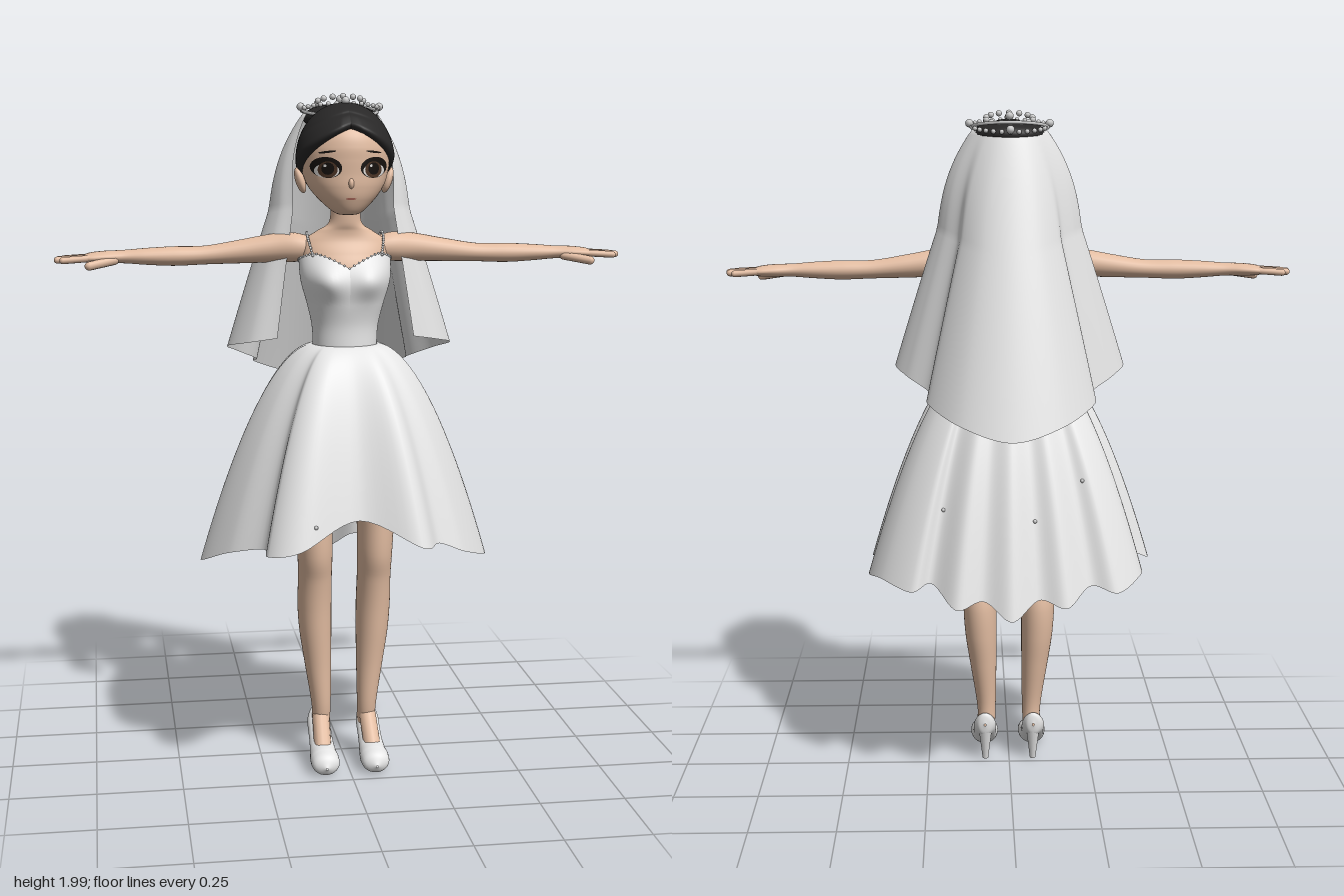
import * as THREE from 'three';
import { ParametricGeometry } from 'three/addons/geometries/ParametricGeometry.js';

const V = (x, y, z) => new THREE.Vector3(x, y, z);
const { sin, cos, PI, exp, abs, min, max, acos, atan2 } = Math;

const material = (name, color, side = THREE.FrontSide) => {
  const m = new THREE.MeshStandardMaterial({ color, side });
  m.name = name;
  return m;
};

// Smooth curve through points, evenly stepped per point
const curve = (pts, closed = false) => new THREE.CatmullRomCurve3(pts, closed, 'catmullrom');

// Elliptical rings stacked bottom to top: rows are [y, x, z, radiusX, radiusZ]
function rings(rows) {
  const centre = curve(rows.map(r => V(r[1], r[0], r[2])));
  const radius = curve(rows.map(r => V(r[3], 0, r[4])));
  return (u, v, t) => {
    centre.getPoint(v, t);
    const r = radius.getPoint(v);
    t.x += r.x * sin(u * 2 * PI);
    t.z += r.z * cos(u * 2 * PI);
    return t;
  };
}
const surface = (f, nu = 40, nv = 40) => new ParametricGeometry(f, nu, nv);

export function createModel() {
  const root = new THREE.Group();
  root.name = 'bride';
  const skin = material('skin', 0xe2bca1);
  const dress = material('dress white', 0xf0f0f0, THREE.DoubleSide);
  const veilMat = material('veil white', 0xe2e2e2, THREE.DoubleSide);
  const hairMat = material('hair black', 0x282727, THREE.DoubleSide);
  const pearl = material('pearl grey', 0xcccccc);
  const lashMat = material('lash black', 0x17120f);
  const irisMat = material('iris brown', 0x4d3526);
  const white = material('eye white', 0xf6f3f0);
  const lipMat = material('lip rose', 0xb06a5c);

  function add(name, geo, mat, pos = [0, 0, 0], scale = [1, 1, 1]) {
    const m = new THREE.Mesh(geo, mat);
    m.name = name;
    m.position.set(...pos);
    m.scale.set(...scale);
    root.add(m);
    return m;
  }
  function capsule(name, a, b, r, mat) {
    const d = b.clone().sub(a);
    const m = add(name, new THREE.CapsuleGeometry(r, d.length(), 4, 12), mat);
    m.position.copy(a).add(b).multiplyScalar(0.5);
    m.quaternion.setFromUnitVectors(V(0, 1, 0), d.normalize());
  }
  function beads(name, pts, r, mat = pearl) {
    const geo = new THREE.SphereGeometry(r, 8, 6);
    pts.forEach(p => add(name, geo, mat, p.toArray()));
  }

  // Neck and chest
  add('torso', surface(rings([
    [1.3, 0, 0.07, 0.08, 0.07], [1.4, 0, 0.075, 0.095, 0.075], [1.49, 0, 0.07, 0.118, 0.078],
    [1.54, 0, 0.062, 0.125, 0.068], [1.575, 0, 0.058, 0.118, 0.055], [1.602, 0, 0.066, 0.08, 0.045],
    [1.63, 0, 0.08, 0.046, 0.038], [1.71, 0, 0.086, 0.044, 0.038]])), skin);

  // Bodice with a heart-shaped neckline
  const bodiceRings = rings([
    [1.265, 0, 0.07, 0.093, 0.086], [1.33, 0, 0.072, 0.097, 0.085], [1.395, 0, 0.079, 0.112, 0.09],
    [1.46, 0, 0.083, 0.13, 0.092], [1.525, 0, 0.069, 0.134, 0.08], [1.59, 0, 0.05, 0.13, 0.06]]);
  const bodice = (u, v, t) => {
    const a = acos(cos(u * 2 * PI));
    const topY = 1.5 + 0.04 * sin(min(a, 0.85) / 0.85 * PI / 2) - 0.028 * max(0, a - 0.85);
    bodiceRings(u, v * (topY - 1.265) / 0.325, t);
    t.z += 0.026 * exp(-(((a - 0.5) / 0.4) ** 2) - ((t.y - 1.465) / 0.05) ** 2);
    return t;
  };
  add('bodice', surface(bodice, 64, 32), dress);
  beads('necklineBead', Array.from({ length: 60 }, (_, i) => bodice(i / 60, 1, V())), 0.0035, dress);

  // Skirt: waist ellipse flaring to a scalloped hem, short in front and long behind
  const hem = curve([[0, 0.81, 0.36], [0.17, 0.74, 0.42], [0.235, 0.73, 0.33], [0.32, 0.69, 0.28], [0.42, 0.64, 0.11],
    [0.35, 0.68, 0.03], [0.42, 0.64, -0.08], [0.38, 0.65, -0.19], [0.29, 0.63, -0.27], [0.23, 0.65, -0.25],
    [0.16, 0.59, -0.32], [0.08, 0.61, -0.3], [0, 0.56, -0.34], [-0.08, 0.61, -0.29], [-0.16, 0.59, -0.31],
    [-0.23, 0.64, -0.25], [-0.31, 0.62, -0.26], [-0.38, 0.65, -0.18], [-0.39, 0.65, -0.09], [-0.36, 0.68, -0.01],
    [-0.43, 0.64, 0.07], [-0.36, 0.69, 0.2], [-0.265, 0.72, 0.29], [-0.26, 0.72, 0.38], [-0.17, 0.74, 0.42]]
    .map(p => V(...p)), true);
  const skirt = (u, v, t) => {
    const s = 1 - v, h = hem.getPoint(u), a = atan2(h.x, h.z - 0.05);
    const w = V(0.095 * sin(a), 1.275, 0.07 + 0.088 * cos(a));
    return t.set(w.x + (h.x - w.x) * s, w.y + (h.y - w.y) * s ** 1.8, w.z + (h.z - w.z) * s);
  };
  add('skirt', surface(skirt, 176, 32), dress);
  beads('skirtBead', [[0.97, 0.05], [0.2, 0.4], [0.36, 0.2], [0.52, 0.2], [0.62, 0.3]]
    .map(p => skirt(...p, V())), 0.006);

  // Veil: half ring on the crown falling to a wavy hem
  const veilHalf = [[0.2, 1.295, 0.095], [0.28, 1.28, 0.06], [0.335, 1.26, -0.03], [0.3, 1.235, -0.11],
    [0.235, 1.2, -0.18], [0.235, 1.18, -0.27], [0.14, 1.135, -0.385]];
  const veilHem = curve([...veilHalf.map(p => V(...p)), V(0, 1.1, -0.43),
    ...veilHalf.map(p => V(-p[0], p[1], p[2])).reverse()]);
  add('veil', surface((u, v, t) => {
    const s = 1 - v, a = (70 + 220 * u) * PI / 180, h = veilHem.getPoint(u);
    const w = V(0.107 * sin(a), 1.935, -0.022 + 0.09 * cos(a));
    t.set(w.x + (h.x - w.x) * s, w.y + (h.y - w.y) * s ** 1.12, w.z + (h.z - w.z) * s);
    t.x += 0.02 * sin(a) * sin(PI * min(1, s * 2.2));
  }, 128, 32), veilMat);

  // Head: rows above the chin cap are evenly spaced so the face depth can be looked up
  const headRows = [[0.128, 0.036, 0.038], [0.106, 0.079, 0.082], [0.087, 0.108, 0.109], [0.077, 0.122, 0.12],
    [0.071, 0.128, 0.128], [0.07, 0.128, 0.129], [0.07, 0.113, 0.118], [0.07, 0.083, 0.085], [0.07, 0.004, 0.004]]
    .map(([z, rx, rz], i) => [1.655 + i * 0.037, 0, z, rx, rz]);
  const head = rings([[1.65, 0, 0.128, 0.002, 0.002], ...headRows]);
  add('head', surface(head, 48, 45), skin);
  const faceZ = (x, y) => {
    const v = (1 + (y - 1.655) / 0.037) / 9, c = head(0.25, v, V()), front = head(0, v, V());
    return c.z + (front.z - c.z) * Math.sqrt(max(0, 1 - (x / c.x) ** 2));
  };
  // Thin oval laid on the face
  function decal(name, mat, x, y, rx, ry, lift, tilt = 0) {
    const g = new THREE.RingGeometry(0, 1, 28, 5).scale(rx, ry, 1).rotateZ(tilt).translate(x, y, 0);
    const p = g.attributes.position;
    for (let i = 0; i < p.count; i++) p.setZ(i, faceZ(p.getX(i), p.getY(i)) + lift);
    g.computeVertexNormals();
    add(name, g, mat);
  }
  add('nose', new THREE.SphereGeometry(0.012, 16, 12), skin, [0, 1.74, 0.192], [0.7, 1.3, 1]);
  decal('mouth', lipMat, 0, 1.697, 0.015, 0.003, 0.002);

  // Hair cap with a centre parting and a fringe swept to both sides
  add('hair', surface((u, v, t) => {
    const s = 1 - v, a = u * 2 * PI, front = max(0, cos(a));
    const p = max(0.001, s * (1.01 + 1.34 * max(1e-6, (1 - cos(a)) / 2) ** 0.66));
    const parting = 0.45 + 0.55 * min(1, abs(sin(a)) * 4);
    const crease = 0.035 * front * exp(-(((s - 0.62) / 0.05) ** 2));
    const k = 1 + 0.2 * front * parting * s * s - crease - 0.18 * max(0, (s - 0.86) / 0.14) ** 2;
    t.set(0.14 * (1 + (k - 1) * 0.6) * sin(p) * sin(a), 1.805 + 0.16 * cos(p), 0.065 + 0.152 * k * sin(p) * cos(a));
  }, 96, 48), hairMat);
  add('hairBun', new THREE.SphereGeometry(1, 32, 20), hairMat, [0, 1.922, -0.025], [0.11, 0.04, 0.1]);

  // Tiara: rim, pearl rings and raised pearls
  const around = (n, rx, rz, y) => Array.from({ length: n }, (_, i) => {
    const a = i / n * 2 * PI;
    return V(rx * sin(a), y + 0.016 * cos(a), -0.025 + rz * cos(a));
  });
  const rim = add('tiaraRim', new THREE.TorusGeometry(0.109, 0.005, 6, 48), pearl, [0, 1.942, -0.025]);
  rim.rotation.x = PI / 2 + 0.14;
  beads('tiaraRimPearl', around(28, 0.11, 0.108, 1.946), 0.007);
  beads('tiaraInnerPearl', around(14, 0.068, 0.062, 1.966), 0.009);
  beads('tiaraRaisedPearl', [...around(4, 0.115, 0.112, 1.953), V(0, 1.974, -0.025)], 0.012);

  for (const s of [1, -1]) {
    const side = s > 0 ? 'left' : 'right';

    // Eye, brow and ear
    decal(side + 'Lash', lashMat, s * 0.068, 1.784, 0.042, 0.029, 0.002, s * 0.1);
    decal(side + 'EyeWhite', white, s * 0.067, 1.775, 0.033, 0.02, 0.0035);
    decal(side + 'Iris', irisMat, s * 0.065, 1.778, 0.026, 0.023, 0.005);
    decal(side + 'Pupil', lashMat, s * 0.065, 1.781, 0.017, 0.017, 0.0062);
    decal(side + 'EyeGlint', white, s * 0.065 - 0.008, 1.789, 0.004, 0.004, 0.0074);
    decal(side + 'Brow', lashMat, s * 0.066, 1.827, 0.024, 0.003, 0.003, -s * 0.12);
    const ear = add(side + 'Ear', new THREE.SphereGeometry(1, 16, 12), skin, [s * 0.127, 1.745, 0.055], [0.014, 0.038, 0.024]);
    ear.rotation.z = -s * 0.3;

    // Arm with palm: [distance out, height, z, half height, half depth]
    const arm = surface(rings([
      [0.08, 1.548, 0.048, 0.03, 0.035], [0.14, 1.553, 0.04, 0.042, 0.042], [0.21, 1.55, 0.027, 0.041, 0.042],
      [0.3, 1.541, 0.021, 0.034, 0.038], [0.4, 1.532, 0.02, 0.027, 0.034], [0.49, 1.53, 0.021, 0.028, 0.036],
      [0.57, 1.53, 0.021, 0.024, 0.035], [0.635, 1.53, 0.02, 0.019, 0.032], [0.69, 1.529, 0.02, 0.018, 0.042],
      [0.735, 1.527, 0.02, 0.014, 0.043], [0.752, 1.526, 0.02, 0.003, 0.02]]
      .map(([d, h, z, ry, rz]) => [d, -s * h, z, ry, rz])), 24, 48).rotateZ(-s * PI / 2);
    add(side + 'Arm', arm, skin);
    [[-0.012, 0.8], [0.009, 0.817], [0.031, 0.821], [0.052, 0.805]].forEach(([z, tip]) =>
      capsule(side + 'Finger', V(s * 0.725, 1.528, z), V(s * tip, 1.523, 0.02 + (z - 0.02) * 1.2), 0.0098, skin));
    capsule(side + 'Thumb', V(s * 0.66, 1.521, 0.045), V(s * 0.732, 1.508, 0.077), 0.0125, skin);

    // Beaded shoulder strap
    beads(side + 'StrapBead', curve([V(s * 0.1, 1.535, 0.125), V(s * 0.11, 1.582, 0.09),
      V(s * 0.108, 1.594, 0.05), V(s * 0.1, 1.53, -0.005), V(s * 0.09, 1.48, -0.006)]).getPoints(30), 0.004, dress);

    // Leg and instep
    add(side + 'Leg', surface(rings([
      [0.09, 0.07, 0.045, 0.026, 0.028], [0.17, 0.07, 0.055, 0.029, 0.034], [0.3, 0.079, 0.05, 0.04, 0.048],
      [0.4, 0.086, 0.048, 0.048, 0.06], [0.49, 0.089, 0.051, 0.051, 0.066], [0.57, 0.089, 0.064, 0.05, 0.066],
      [0.65, 0.09, 0.074, 0.052, 0.076],
      [0.78, 0.092, 0.073, 0.057, 0.082], [0.96, 0.085, 0.07, 0.072, 0.09], [1.15, 0.05, 0.065, 0.075, 0.08]]
      .map(r => [r[0], s * r[1], r[2], r[3], r[4]])), 32, 48), skin);
    capsule(side + 'Instep', V(s * 0.072, 0.13, 0.065), V(s * 0.075, 0.058, 0.134), 0.026, skin);

    // High-heeled shoe: [z, height, half width, half height]
    const shoe = surface(rings([[-0.002, 0.12, 0.003, 0.004], [0.006, 0.119, 0.022, 0.034], [0.03, 0.109, 0.034, 0.037],
      [0.065, 0.083, 0.035, 0.034], [0.1, 0.06, 0.036, 0.032], [0.14, 0.041, 0.04, 0.036], [0.18, 0.036, 0.043, 0.035],
      [0.212, 0.032, 0.036, 0.029], [0.23, 0.028, 0.003, 0.003]]
      .map(([z, h, rx, ry]) => [z, s * 0.075, -h, rx, ry])), 28, 40).rotateX(PI / 2);
    add(side + 'Shoe', shoe, dress);
    const heel = add(side + 'Heel', new THREE.CylinderGeometry(0.021, 0.009, 0.1, 14), dress, [s * 0.074, 0.05, 0.027]);
    heel.rotation.x = -0.1;
  }
  return root;
}
